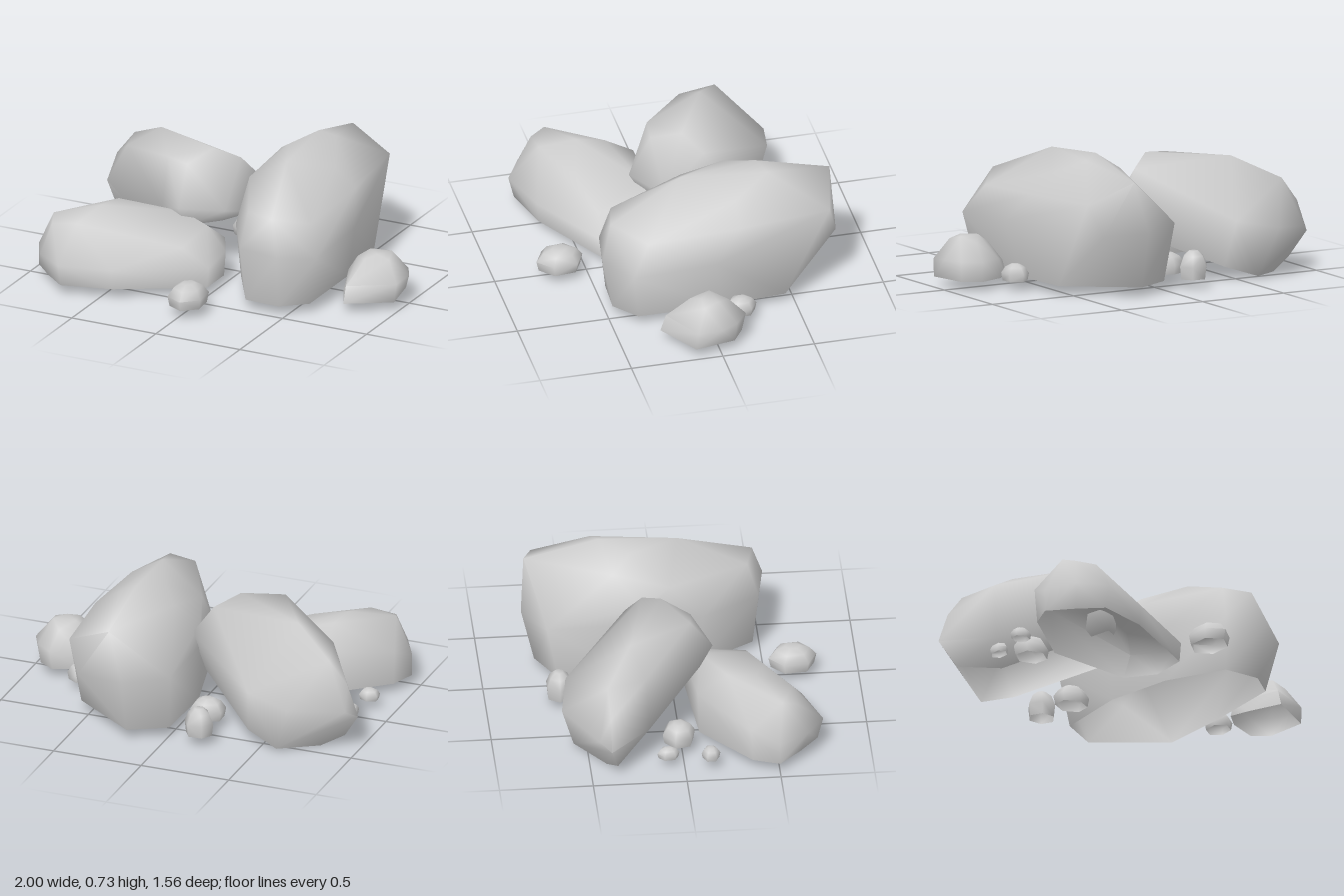
import * as THREE from 'three';
import { ConvexGeometry } from 'three/addons/geometries/ConvexGeometry.js';
import { toCreasedNormals } from 'three/addons/utils/BufferGeometryUtils.js';

const GROUND = 0.05;
const material = new THREE.MeshStandardMaterial({ color: 0xcccccc, side: THREE.DoubleSide });

// Convex shell around the corner points, with its underside left open
function rock(name, corners) {
  const hull = new ConvexGeometry(corners.map((c) => new THREE.Vector3(...c)));
  const p = hull.attributes.position;
  const kept = [];
  const tri = new THREE.Triangle();
  const normal = new THREE.Vector3();
  for (let i = 0; i < p.count; i += 3) {
    tri.setFromAttributeAndIndices(p, i, i + 1, i + 2);
    tri.getNormal(normal);
    if (normal.y < -0.85) continue;
    for (const v of [tri.a, tri.b, tri.c]) kept.push(v.x, v.y, v.z);
  }
  const geometry = new THREE.BufferGeometry();
  geometry.setAttribute('position', new THREE.Float32BufferAttribute(kept, 3));
  const mesh = new THREE.Mesh(toCreasedNormals(geometry, 1.4), material);
  mesh.name = name;
  return mesh;
}

// Footprint corners [x, z] lifted onto a plane given by a height function
const rim = (points, height = () => GROUND) => points.map(([x, z]) => [x, height(x, z), z]);

// Small domed stone from shrinking rings
function pebble(name, x, z, rx, rz, h, turn, sides = 6) {
  const corners = [];
  for (const [level, size] of [[0, 0.9], [0.45, 1], [0.82, 0.72], [1, 0.32]]) {
    for (let i = 0; i < sides; i++) {
      const a = turn + (i / sides) * Math.PI * 2;
      corners.push([x + Math.cos(a) * rx * size, GROUND + h * level, z + Math.sin(a) * rz * size]);
    }
  }
  return rock(name, corners);
}

export function createModel() {
  const group = new THREE.Group();
  group.name = 'rockPile';

  // Tall long boulder
  group.add(rock('tallBoulder', [
    ...rim([[0, -0.6], [0.2, -0.71], [0.56, -0.45], [0.59, -0.1], [0.59, 0.36], [0.46, 0.47], [0.26, 0.46], [0.08, 0.16], [-0.01, -0.2]]),
    [-0.03, 0.37, -0.66], [0.2, 0.35, -0.78], [0.46, 0.35, -0.75], [0.53, 0.52, -0.7],
    [0.65, 0.35, -0.05], [0.65, 0.33, 0.4], [0.48, 0.35, 0.53], [0.24, 0.35, 0.49], [0.06, 0.35, 0.18], [-0.03, 0.38, -0.2],
    [0, 0.47, -0.15], [0.05, 0.55, 0], [0.09, 0.62, -0.3], [0.28, 0.63, -0.76],
    [0.28, 0.73, -0.36], [0.36, 0.7, -0.4], [0.18, 0.69, -0.2], [0.3, 0.7, 0.06], [0.2, 0.63, 0.06],
    [0.58, 0.51, -0.2], [0.46, 0.61, -0.2], [0.57, 0.48, 0.3], [0.42, 0.54, 0.47], [0.26, 0.54, 0.43], [0.12, 0.52, 0.16],
  ]));

  // Tilted boulder resting on its neighbour
  const tilt = (x, z) => 0.27 * (x + 0.79) + 0.22 * (z + 0.41);
  group.add(rock('leaningBoulder', [
    ...rim([[-0.79, -0.41], [-0.7, -0.24], [-0.6, -0.57], [-0.42, -0.52], [-0.06, -0.22], [-0.1, 0.02], [-0.27, 0.13]], tilt),
    [-0.91, 0.06, -0.36], [-1, 0.2, -0.4], [-0.95, 0.24, -0.46], [-0.69, 0.28, -0.64], [-0.45, 0.33, -0.6], [0.01, 0.45, -0.24],
    [0, 0.29, -0.15], [-0.07, 0.35, 0.05], [-0.27, 0.38, 0.2], [-0.41, 0.34, 0.12], [-0.78, 0.2, -0.18],
    [-0.94, 0.37, -0.4], [-0.84, 0.5, -0.41], [-0.78, 0.51, -0.2], [-0.61, 0.62, -0.27],
    [-0.4, 0.61, 0.07], [-0.2, 0.645, -0.07], [-0.08, 0.58, -0.16], [-0.28, 0.59, 0.08],
  ]));

  // Low boulder at the front
  group.add(rock('lowBoulder', [
    ...rim([[-0.95, 0.5], [-0.9, 0.36], [-0.6, 0.1], [-0.12, 0.06], [0, 0.2], [0, 0.4], [-0.44, 0.65], [-0.71, 0.72], [-0.83, 0.62]]),
    [-0.95, 0.17, 0.5], [-0.91, 0.24, 0.35], [-0.62, 0.3, 0.09], [-0.07, 0.2, 0.05], [0, 0.18, 0.18],
    [0.01, 0.16, 0.4], [-0.44, 0.16, 0.66], [-0.71, 0.17, 0.75], [-0.86, 0.18, 0.66],
    [-0.85, 0.37, 0.52], [-0.82, 0.34, 0.6], [-0.68, 0.36, 0.59], [-0.63, 0.41, 0.4], [-0.6, 0.4, 0.25],
    [-0.28, 0.34, 0.13], [-0.14, 0.28, 0.12], [-0.4, 0.33, 0.46], [-0.15, 0.25, 0.4],
  ]));

  // Squat stone at the left
  group.add(rock('squatStone', [
    ...rim([[0.62, 0.0], [0.7, -0.08], [0.85, -0.14], [0.94, -0.08], [0.98, 0.14], [0.75, 0.28], [0.66, 0.1]]),
    [0.64, 0.13, 0.0], [0.72, 0.16, -0.09], [0.86, 0.16, -0.16], [0.95, 0.16, -0.09], [1, 0.16, 0], [0.99, 0.15, 0.13],
    [0.75, 0.14, 0.25], [0.71, 0.23, 0.03], [0.8, 0.26, 0.13], [0.92, 0.26, 0.08],
    [0.78, 0.28, 0.02], [0.9, 0.28, 0.0], [0.85, 0.28, 0.08], [0.84, 0.25, -0.07],
  ]));

  // Scattered pebbles: x, z, radii, height, turn
  const pebbles = [
    [0.015, 0.65, 0.105, 0.13, 0.12, 0.4],
    [-0.175, -0.61, 0.082, 0.075, 0.15, 0],
    [-0.14, -0.39, 0.1, 0.085, 0.11, 0.5],
    [0.67, -0.18, 0.07, 0.085, 0.09, 0.5],
    [-0.67, -0.015, 0.1, 0.09, 0.11, 0.3],
    [-0.83, -0.085, 0.045, 0.06, 0.06, 0.4],
    [-0.85, 0.14, 0.058, 0.05, 0.06, 0.5],
  ];
  pebbles.forEach((p, i) => group.add(pebble('pebble' + (i + 1), ...p)));

  return group;
}
